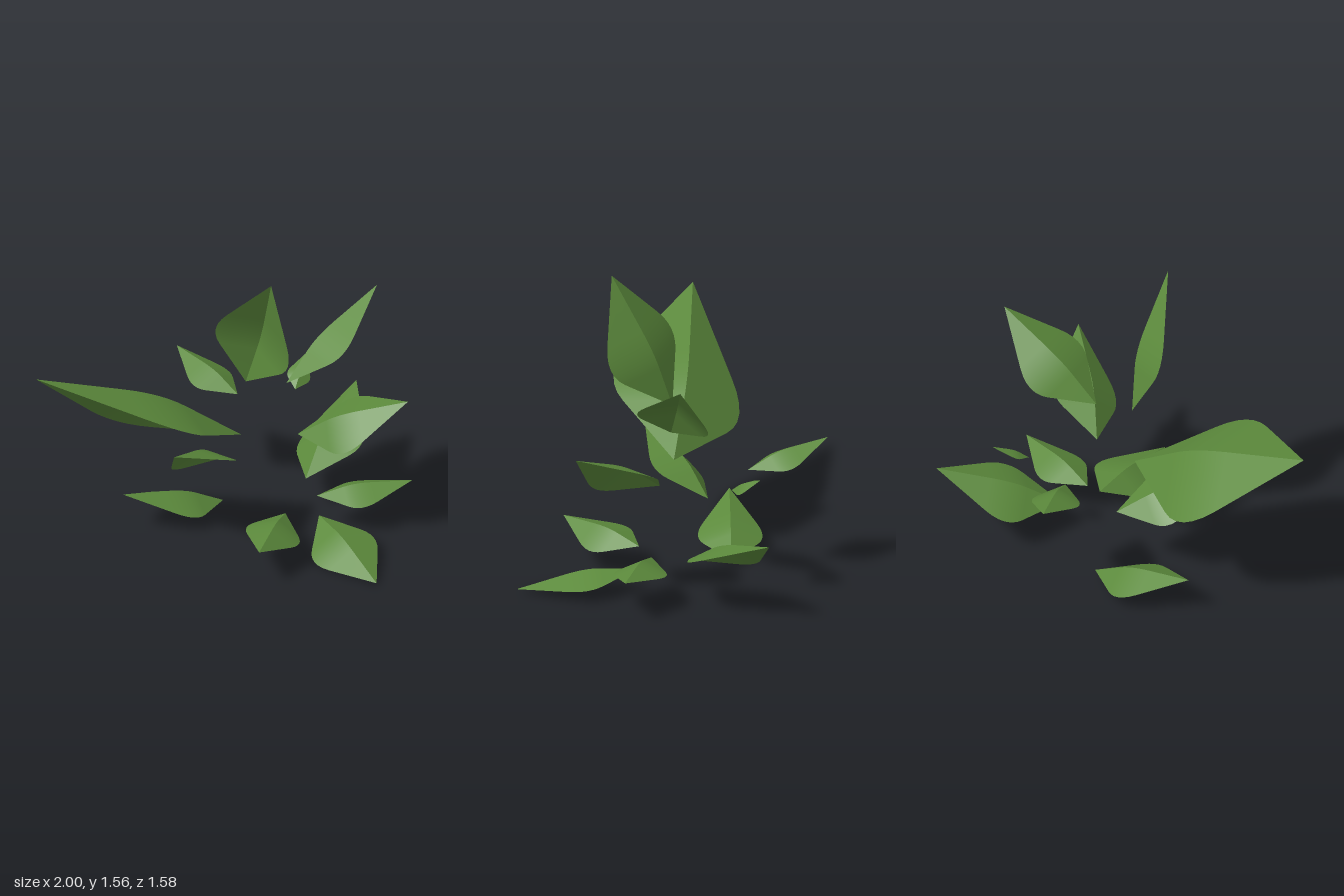
import * as THREE from 'three';
import { mergeGeometries } from 'three/addons/utils/BufferGeometryUtils.js';

const leafGreen = new THREE.MeshStandardMaterial({ color: 0x5c8a3c, side: THREE.DoubleSide });
leafGreen.name = 'leafGreen';

// Every leaf is the same blade, placed by its stem end, its tip and the direction across it
const leaves = [
  { base: [0.08, 0.56, -0.03], tip: [-1, 1.09, -0.24], across: [-0.09, -0.17, -0.61] },
  { base: [0.1, 0.86, -0.02], tip: [0.06, 1.55, 0.28], across: [-0.22, 0.05, -0.37] },
  { base: [0.32, 0.8, 0.01], tip: [0.85, 1.21, 0.02], across: [-0.1, 0.08, 0.35] },
  { base: [0.28, 0.57, -0.38], tip: [0.18, 0.69, -0.79], across: [0.23, -0.01, -0.04] },
  { base: [0.35, 0.53, 0.07], tip: [0.71, 0.82, 0.53], across: [-0.15, -0.09, 0.3] },
  { base: [0.55, 0.57, -0.27], tip: [0.69, 0.67, -0.4], across: [0.1, -0.025, 0.055] },
  { base: [0.09, 0.35, -0.2], tip: [-0.38, 0.61, 0.07], across: [-0.27, -0.06, -0.19] },
  { base: [0.15, 0.04, -0.31], tip: [-0.41, 0.21, -0.36], across: [-0.03, 0.01, -0.3] },
  { base: [0.22, 0.16, 0.16], tip: [-0.15, 0.2, 0.5], across: [-0.16, 0.045, -0.15] },
  { base: [0.48, 0.18, -0.06], tip: [1, 0.43, -0.41], across: [0.15, 0.08, 0.37] },
  { base: [0.43, 0.18, 0.12], tip: [0.88, 0.22, 0.3], across: [-0.07, -0.005, 0.24] },
  { base: [0.4, 0.11, 0.19], tip: [0.36, 0.01, 0.79], across: [-0.3, -0.06, -0.01] },
];

// Line from stem (y = 0) to tip (y = 1), bent out to (x, z) with a softened corner
function bentLine(x, z) {
  const cut = 0.3;
  const stem = new THREE.Vector3(0, 0, 0);
  const tip = new THREE.Vector3(0, 1, 0);
  const peak = new THREE.Vector3(x, 0, z).divideScalar(1 - cut / 2).setY(0.41);
  const corner = new THREE.QuadraticBezierCurve3(
    peak.clone().lerp(stem, cut), peak, peak.clone().lerp(tip, cut));
  return [stem, ...corner.getPoints(6), tip];
}

// Half of a blade, ruled between two lines from left to right
function halfBlade(left, right) {
  const steps = 3;
  const positions = [];
  const index = [];
  left.forEach((point, row) => {
    for (let k = 0; k <= steps; k++) {
      positions.push(...point.clone().lerp(right[row], k / steps).toArray());
      if (row === 0 || k === 0) continue;
      const above = row * (steps + 1) + k;
      const below = above - steps - 1;
      if (row > 1) index.push(below - 1, below, above);
      if (row < left.length - 1) index.push(below - 1, above, above - 1);
    }
  });
  const geometry = new THREE.BufferGeometry();
  geometry.setAttribute('position', new THREE.Float32BufferAttribute(positions, 3));
  geometry.setIndex(index);
  geometry.computeVertexNormals();
  return geometry;
}

// Blade one unit long: raised rib, lowered side corners, creased along the rib
function createBlade() {
  const rib = bentLine(0, 0.065);
  return mergeGeometries([
    halfBlade(bentLine(-0.275, -0.065), rib),
    halfBlade(rib, bentLine(0.275, -0.065)),
  ]);
}

export function createModel() {
  const model = new THREE.Group();
  model.name = 'leafCluster';
  const blade = createBlade();
  leaves.forEach((leaf, i) => {
    const mesh = new THREE.Mesh(blade, leafGreen);
    mesh.name = `leaf${i + 1}`;
    const base = new THREE.Vector3(...leaf.base);
    const along = new THREE.Vector3(...leaf.tip).sub(base);
    const size = along.length();
    along.normalize();
    const across = new THREE.Vector3(...leaf.across).projectOnPlane(along).normalize();
    const normal = across.clone().cross(along);
    mesh.quaternion.setFromRotationMatrix(new THREE.Matrix4().makeBasis(across, along, normal));
    mesh.position.copy(base);
    mesh.scale.setScalar(size);
    model.add(mesh);
  });
  return model;
}
